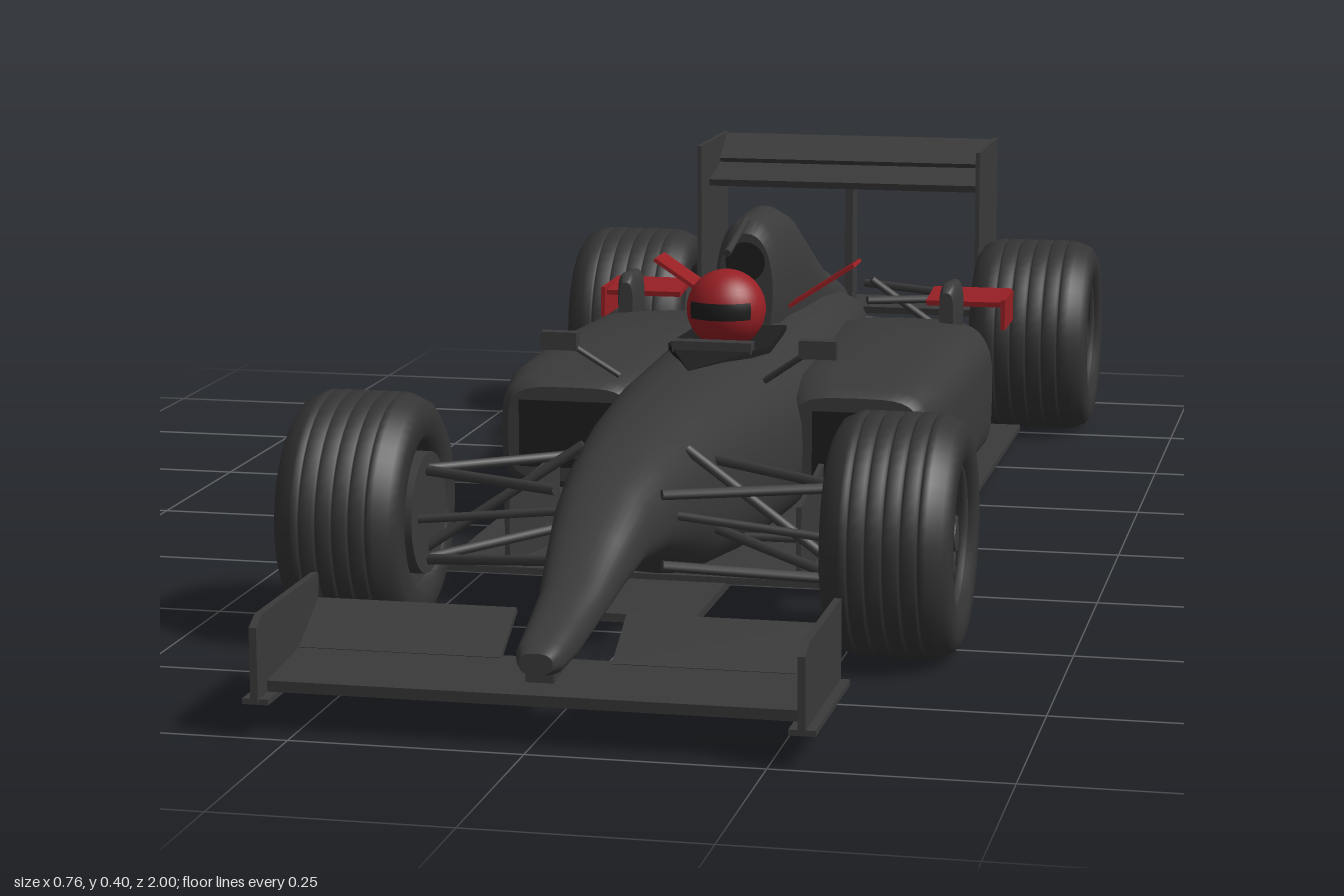
import * as THREE from 'three';

const mat = (name, color, double) => {
  const m = new THREE.MeshStandardMaterial({ color });
  m.name = name;
  if (double) m.side = THREE.DoubleSide;
  return m;
};

export function createModel() {
  const body = mat('carbon grey', 0x3a3a3a, true);
  const rubber = mat('rubber', 0x343434);
  const dark = mat('near black', 0x1e1e1e);
  const red = mat('red', 0x961f24);
  const car = new THREE.Group();
  car.name = 'racingCar';

  const add = (name, geo, m, pos = [0, 0, 0], rot = [0, 0, 0], parent = car) => {
    const mesh = new THREE.Mesh(geo, m);
    mesh.name = name;
    mesh.position.set(...pos);
    mesh.rotation.set(...rot);
    parent.add(mesh);
    return mesh;
  };
  const box = (name, size, pos, m = body, rot, parent) =>
    add(name, new THREE.BoxGeometry(...size), m, pos, rot, parent);

  // Round bar between two points
  const strut = (name, a, b, r = 0.005, m = body) => {
    const A = new THREE.Vector3(...a), B = new THREE.Vector3(...b);
    const mesh = add(name, new THREE.CylinderGeometry(r, r, A.distanceTo(B), 8), m);
    mesh.position.copy(A).add(B).multiplyScalar(0.5);
    mesh.quaternion.setFromUnitVectors(new THREE.Vector3(0, 1, 0), B.sub(A).normalize());
    return mesh;
  };

  // Upright plate from [z, y] corners, centred on x
  const plate = (name, corners, x, t = 0.006, m = body) => {
    const shape = new THREE.Shape(corners.map(([z, y]) => new THREE.Vector2(z, y)));
    const geo = new THREE.ExtrudeGeometry(shape, { depth: t, bevelEnabled: false });
    return add(name, geo.translate(0, 0, -t / 2), m, [x, 0, 0], [0, -Math.PI / 2, 0]);
  };

  // Skin over rounded sections [z, xMin, xMax, yMin, yMax], from front to back
  const loft = (name, sections, power, m = body, n = 36) => {
    const pos = [], idx = [];
    const bend = (v) => Math.sign(v) * Math.abs(v) ** (2 / power);
    const ring = ([z, x0, x1, y0, y1]) => {
      for (let j = 0; j < n; j++) {
        const a = (j / n) * Math.PI * 2;
        pos.push((x0 + x1) / 2 + ((x1 - x0) / 2) * bend(Math.cos(a)),
          (y0 + y1) / 2 + ((y1 - y0) / 2) * bend(Math.sin(a)), z);
      }
    };
    sections.forEach(ring);
    for (let i = 0; i < sections.length - 1; i++) {
      for (let j = 0; j < n; j++) {
        const a = i * n + j, b = i * n + ((j + 1) % n);
        idx.push(a, a + n, b, b, a + n, b + n);
      }
    }
    // End caps have their own corners to keep the rims sharp
    [sections[0], sections[sections.length - 1]].forEach((s, end) => {
      const o = pos.length / 3;
      ring(s);
      for (let j = 1; j < n - 1; j++) idx.push(o, o + j + (end ? 1 : 0), o + j + (end ? 0 : 1));
    });
    const geo = new THREE.BufferGeometry();
    geo.setAttribute('position', new THREE.Float32BufferAttribute(pos, 3));
    geo.setIndex(idx);
    geo.computeVertexNormals();
    return add(name, geo, m);
  };
  const centred = (rows) => rows.map(([z, w, y0, y1]) => [z, -w, w, y0, y1]);

  // Chassis and nose
  loft('chassis', centred([
    [0.95, 0.018, 0.072, 0.095], [0.93, 0.026, 0.067, 0.105], [0.88, 0.03, 0.068, 0.117],
    [0.8, 0.036, 0.085, 0.135], [0.73, 0.046, 0.102, 0.172], [0.66, 0.055, 0.113, 0.208],
    [0.58, 0.065, 0.105, 0.23], [0.5, 0.075, 0.085, 0.242], [0.4, 0.09, 0.05, 0.251],
    [0.22, 0.108, 0.03, 0.257], [0, 0.12, 0.022, 0.255], [-0.2, 0.12, 0.022, 0.262],
    [-0.45, 0.1, 0.025, 0.25], [-0.65, 0.07, 0.03, 0.225], [-0.85, 0.04, 0.06, 0.18], [-0.94, 0.025, 0.09, 0.14],
  ]), 2.5);
  // Engine cover with air intake
  loft('engineCover', centred([
    [-0.125, 0.036, 0.22, 0.375], [-0.15, 0.044, 0.2, 0.392], [-0.25, 0.046, 0.18, 0.395],
    [-0.33, 0.046, 0.16, 0.375], [-0.45, 0.045, 0.15, 0.318], [-0.55, 0.042, 0.13, 0.275],
    [-0.68, 0.034, 0.12, 0.24], [-0.8, 0.022, 0.11, 0.205], [-0.88, 0.01, 0.11, 0.17],
  ]), 2.3);
  add('airIntake', new THREE.CircleGeometry(0.026, 24), dark, [0, 0.338, -0.1235]);
  strut('intakeBar', [0, 0.392, -0.13], [0, 0.366, -0.01], 0.005);

  // Cockpit opening, steering wheel and driver
  const opening = new THREE.Shape([[-0.055, 0.12], [0.055, 0.12], [0.065, -0.04], [0.05, -0.08], [0, -0.22],
    [-0.05, -0.08], [-0.065, -0.04]].map(([x, y]) => new THREE.Vector2(x, y)));
  add('cockpitOpening', new THREE.ExtrudeGeometry(opening, { depth: 0.008, bevelEnabled: false }),
    dark, [0, 0.25, 0], [-Math.PI / 2, 0, 0]);
  box('steeringWheel', [0.1, 0.014, 0.02], [0, 0.262, 0.075]);
  add('helmet', new THREE.SphereGeometry(0.05, 32, 20), red, [0, 0.297, -0.005]);
  const visorGeo = new THREE.SphereGeometry(0.0515, 24, 6, Math.PI / 2 - 0.85, 1.7, 1.37, 0.42);
  add('visor', visorGeo, dark, [0, 0.3, -0.004]);

  // Floor, keel plank and diffuser
  box('floor', [0.575, 0.008, 1.0], [0, 0.02, -0.2]);
  box('keelPlank', [0.125, 0.01, 1.2], [0, 0.012, -0.13]);
  box('diffuserRoof', [0.4, 0.006, 0.264], [0, 0.06, -0.82], body, [0.29, 0, 0]);
  for (let i = 0; i < 6; i++) {
    plate('diffuserFin', [[-0.7, 0.02], [-0.95, 0.025], [-0.95, 0.105], [-0.9, 0.09]], -0.2 + i * 0.08, 0.005);
  }
  box('rearLight', [0.022, 0.034, 0.016], [0, 0.122, -0.982], red);

  // Front wing across the nose
  box('frontWingPlane', [0.56, 0.012, 0.115], [0, 0.056, 0.915], body, [0.08, 0, 0]);
  box('nosePylon', [0.03, 0.03, 0.07], [0, 0.066, 0.9]);
  // Rear wing elements and support
  box('rearWingPlane', [0.41, 0.01, 0.085], [0, 0.35, -0.905], body, [0.2, 0, 0]);
  box('rearWingFlap', [0.41, 0.008, 0.062], [0, 0.382, -0.968], body, [0.55, 0, 0]);
  box('rearWingPylon', [0.012, 0.24, 0.04], [0, 0.235, -0.925]);
  box('rearBeamWing', [0.41, 0.01, 0.06], [0, 0.155, -0.93], body, [0.15, 0, 0]);

  // Tyre with grooves, recessed rim and spokes; axle along x
  const wheel = (name, s, x, z, w) => {
    const g = new THREE.Group();
    g.name = name;
    g.position.set(s * x, 0.14, z);
    g.rotation.z = -s * Math.PI / 2;
    car.add(g);
    const h = w / 2, pts = [[0.083, -h + 0.012], [0.09, -h], [0.115, -h], [0.128, -h + 0.008], [0.135, -h + 0.024]];
    for (let i = -2; i <= 2; i++) {
      const c = (i * w) / 7.5;
      pts.push([0.137, c - 0.003], [0.133, c - 0.001], [0.133, c + 0.001], [0.137, c + 0.003]);
    }
    pts.push([0.135, h - 0.024], [0.128, h - 0.008], [0.115, h], [0.09, h], [0.083, h - 0.012], [0.083, -h + 0.012]);
    add('tyre', new THREE.LatheGeometry(pts.map((p) => new THREE.Vector2(...p)), 48), rubber, [0, 0, 0], [0, 0, 0], g);
    add('rimDisc', new THREE.CylinderGeometry(0.084, 0.084, w - 0.06, 32), dark, [0, 0, 0], [0, 0, 0], g);
    const lip = new THREE.TorusGeometry(0.08, 0.006, 8, 36);
    add('rimLip', lip, body, [0, h - 0.014, 0], [Math.PI / 2, 0, 0], g);
    add('hub', new THREE.CylinderGeometry(0.016, 0.022, 0.022, 16), body, [0, h - 0.02, 0], [0, 0, 0], g);
    for (let i = 0; i < 8; i++) {
      const a = (i * Math.PI) / 4;
      box('spoke', [0.066, 0.012, 0.012], [Math.cos(a) * 0.046, h - 0.024, -Math.sin(a) * 0.046], body, [0, a, 0], g);
    }
  };

  // Everything that is mirrored left and right
  for (const s of [1, -1]) {
    wheel('frontWheel', s, 0.309, 0.53, 0.144);
    wheel('rearWheel', s, 0.296, -0.807, 0.168);

    // Sidepod, inlet and cooling fin
    loft('sidepod', [
      [0.085, 0.1, 0.262, 0.085, 0.205], [0.075, 0.095, 0.272, 0.075, 0.216], [0, 0.07, 0.286, 0.06, 0.224],
      [-0.2, 0.06, 0.289, 0.04, 0.228], [-0.4, 0.04, 0.286, 0.03, 0.222], [-0.55, 0.03, 0.262, 0.022, 0.2],
      [-0.68, 0.02, 0.215, 0.022, 0.17], [-0.77, 0.01, 0.17, 0.03, 0.15], [-0.84, 0.005, 0.1, 0.07, 0.13],
    ].map(([z, a, b, y0, y1]) => [z, Math.min(s * a, s * b), Math.max(s * a, s * b), y0, y1]), 4);
    box('sidepodInlet', [0.12, 0.085, 0.004], [s * 0.187, 0.145, 0.085], dark);
    loft('coolingFin', [
      [-0.395, 0.213, 0.232, 0.2, 0.262], [-0.41, 0.211, 0.237, 0.2, 0.274],
      [-0.46, 0.211, 0.237, 0.19, 0.272], [-0.475, 0.215, 0.232, 0.19, 0.255],
    ].map(([z, a, b, y0, y1]) => [z, Math.min(s * a, s * b), Math.max(s * a, s * b), y0, y1]), 3, body, 20);

    // Red winglets
    box('engineCoverWinglet', [0.102, 0.005, 0.055], [s * 0.09, 0.301, -0.205], red, [0, 0, s * 0.585]);
    box('sidepodWinglet', [0.11, 0.007, 0.08], [s * 0.23, 0.23, -0.567], red, [0.1, 0, 0]);
    box('wingletEndPlate', [0.006, 0.042, 0.09], [s * 0.284, 0.214, -0.56], red);

    // Bargeboard and turning vane
    const board = plate('bargeboard', [[0.22, 0.04], [0.42, 0.06], [0.42, 0.14], [0.22, 0.15]], s * 0.152);
    board.rotation.y += s * 0.05;
    strut('bargeboardStay', [s * 0.09, 0.08, 0.32], [s * 0.152, 0.08, 0.32]);

    // Mirrors
    box('mirror', [0.045, 0.022, 0.016], [s * 0.159, 0.289, 0.22]);
    strut('mirrorStay', [s * 0.09, 0.245, 0.2], [s * 0.145, 0.284, 0.218], 0.004);

    // Front wing flap, end plate and foot
    box('frontWingFlap', [0.22, 0.007, 0.078], [s * 0.17, 0.082, 0.832], body, [0.5, 0, 0]);
    plate('frontEndPlate', [[0.795, 0.04], [1, 0.04], [1, 0.12], [0.98, 0.13], [0.795, 0.13]], s * 0.285, 0.008);
    box('endPlateFoot', [0.028, 0.006, 0.2], [s * 0.285, 0.041, 0.897]);
    // Rear wing end plate
    plate('rearEndPlate', [[-0.805, 0.2], [-0.87, 0.115], [-1, 0.115], [-1, 0.403], [-0.805, 0.403]], s * 0.207, 0.006);

    // Suspension: wishbones, push rods and brake drums
    for (const [hx, hz, hy, inner] of [
      [0.245, 0.53, 0.14, [[0.075, 0.43], [0.06, 0.63]]],
      [0.22, -0.807, 0.14, [[0.06, -0.72], [0.03, -0.88]]],
    ]) {
      for (const [ix, iz] of inner) {
        strut('upperWishbone', [s * hx, hy + 0.05, hz], [s * ix, 0.195, iz], 0.006);
        strut('lowerWishbone', [s * hx, hy - 0.055, hz], [s * ix, 0.115, iz], 0.006);
      }
      strut('pushRod', [s * hx, hy - 0.045, hz], [s * 0.06, 0.22, hz + (hz > 0 ? -0.03 : 0.05)], 0.006);
      strut('trackRod', [s * hx, hy, hz + 0.04], [s * 0.05, 0.16, hz + 0.04], 0.005);
      add('brakeDrum', new THREE.CylinderGeometry(0.07, 0.07, 0.05, 24), body,
        [s * (hx + 0.015), hy, hz], [0, 0, Math.PI / 2]);
    }
  }
  return car;
}
